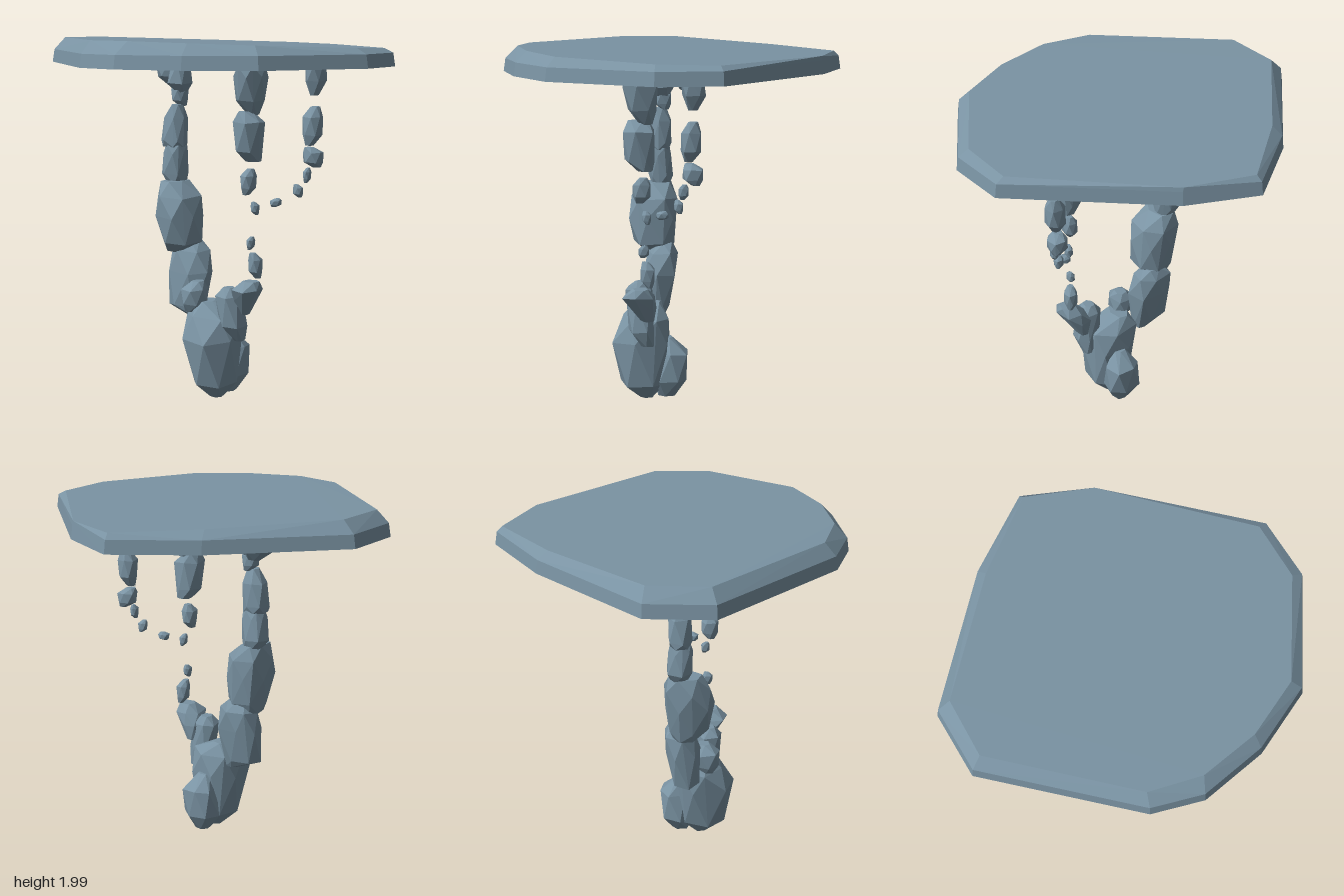
import * as THREE from 'three';
import { ConvexGeometry } from 'three/addons/geometries/ConvexGeometry.js';

const material = new THREE.MeshStandardMaterial({ color: 0x7a93a3, flatShading: true });

// Irregular hexagon that touches the sides of a unit square
const HEX = [[-1, -0.4], [-0.3, -1], [0.75, -0.85], [1, 0.25], [0.35, 1], [-0.75, 0.75]];

function hull(name, points) {
  const mesh = new THREE.Mesh(new ConvexGeometry(points), material);
  mesh.name = name;
  return mesh;
}

// Faceted boulder from level sections [y, x0, x1, z0, z1]; alternate sections are mirrored
function boulder(name, sections) {
  const points = [];
  sections.forEach(([y, x0, x1, z0, z1], i) => {
    const flip = i % 2 ? -1 : 1;
    HEX.forEach(([u, v], k) => points.push(new THREE.Vector3(
      (x0 + x1) / 2 + u * flip * (x1 - x0) / 2,
      y + (k % 2 ? 0.04 : 0) * (i === 0 || i === sections.length - 1 ? 0 : 1) * flip * (x1 - x0),
      (z0 + z1) / 2 + v * (z1 - z0) / 2)));
  });
  return hull(name, points);
}

// Small rock filling a box, narrowed towards both ends
function rock(name, [x0, x1, y0, y1, z0, z1], i) {
  const w = x1 - x0, h = y1 - y0, d = z1 - z0, s = i % 2 ? 0.14 : -0.1;
  const section = (t, k, shift) => {
    const cx = (x0 + x1) / 2 + shift * w, cz = (z0 + z1) / 2 - shift * d;
    return [y0 + t * h, cx - k * w / 2, cx + k * w / 2, cz - k * d / 2, cz + k * d / 2];
  };
  return boulder(name, [section(0, 0.4, s), section(0.28, 0.94, 0), section(0.72, 0.97, 0), section(1, 0.45, -s)]);
}

// Slab: vertical rim, bevel, and a top that dips gently to the back left
function slab() {
  const outer = [[-0.08, -0.94], [0.29, -0.78], [0.97, -0.17], [0.98, 0.17], [0.65, 0.7], [0.31, 0.87],
    [-0.05, 0.94], [-0.32, 0.87], [-0.98, 0.28], [-0.99, -0.08], [-0.47, -0.66]];
  const inner = [[-0.07, -0.9], [0.28, -0.77], [0.91, -0.16], [0.91, 0.16], [0.6, 0.65], [0.3, 0.8],
    [-0.02, 0.86], [-0.3, 0.8], [-0.91, 0.25], [-0.91, -0.07], [-0.44, -0.6]];
  const points = [];
  outer.forEach(([x, z]) => {
    points.push(new THREE.Vector3(x, 1.86, z));
    points.push(new THREE.Vector3(x * 0.988, 1.932, z * 0.988));
  });
  inner.forEach(([x, z]) => points.push(new THREE.Vector3(x, Math.min(2, 1.98 - 0.022 * x + 0.023 * z), z)));
  return hull('slab', points);
}

export function createModel() {
  const model = new THREE.Group();
  model.name = 'rockTable';
  model.add(slab());

  // Base stones
  model.add(boulder('baseFrontBoulder', [
    [0.01, 0.03, 0.1, 0.13, 0.2], [0.1, -0.05, 0.18, 0.06, 0.31], [0.34, -0.1, 0.2, 0.03, 0.36],
    [0.48, -0.11, 0.19, 0.04, 0.29], [0.55, -0.05, 0.04, 0.08, 0.22]]));
  model.add(boulder('baseBackBoulder', [
    [0.02, 0.03, 0.11, 0, 0.1], [0.12, -0.04, 0.17, -0.06, 0.12],
    [0.27, -0.02, 0.17, -0.07, 0.1], [0.36, 0.03, 0.1, 0.02, 0.08]]));

  // Thick column of stacked stones
  model.add(boulder('columnLowerBoulder', [
    [0.44, -0.15, -0.08, 0.05, 0.14], [0.5, -0.29, -0.07, 0.02, 0.17], [0.68, -0.3, -0.04, -0.02, 0.17],
    [0.81, -0.29, -0.07, -0.03, 0.14], [0.86, -0.23, -0.12, 0, 0.09]]));
  model.add(boulder('columnMiddleBoulder', [
    [0.8, -0.3, -0.2, 0.03, 0.15], [0.86, -0.31, -0.1, -0.01, 0.22], [1.0, -0.34, -0.1, -0.02, 0.25],
    [1.12, -0.35, -0.11, -0.03, 0.23], [1.2, -0.33, -0.2, 0, 0.18]]));
  model.add(boulder('columnUpperStone', [
    [1.18, -0.32, -0.22, 0.01, 0.11], [1.24, -0.36, -0.21, -0.01, 0.13],
    [1.35, -0.34, -0.21, 0, 0.13], [1.4, -0.33, -0.21, 0.01, 0.12]]));
  model.add(boulder('columnTopStone', [
    [1.39, -0.35, -0.21, 0.01, 0.12], [1.43, -0.36, -0.21, 0, 0.13],
    [1.55, -0.34, -0.21, 0, 0.12], [1.63, -0.29, -0.23, 0.03, 0.1]]));
  model.add(boulder('columnCapStone', [
    [1.69, -0.26, -0.22, 0.02, 0.08], [1.75, -0.32, -0.18, -0.01, 0.13], [1.86, -0.29, -0.2, 0, 0.11]]));
  model.add(boulder('columnSideStone', [
    [1.72, -0.41, -0.34, -0.11, -0.06], [1.78, -0.48, -0.3, -0.15, -0.01], [1.86, -0.49, -0.3, -0.14, 0]]));

  // Branching arm stones
  model.add(boulder('armLowerStone', [
    [0.35, 0.19, 0.24, 0.13, 0.2], [0.44, 0.12, 0.27, 0.13, 0.27],
    [0.6, 0.1, 0.24, 0.14, 0.28], [0.65, 0.14, 0.2, 0.17, 0.24]]));
  model.add(boulder('armUpperStone', [
    [0.5, 0.21, 0.27, 0.13, 0.2], [0.59, 0.19, 0.32, 0.12, 0.25],
    [0.65, 0.22, 0.37, 0.13, 0.31], [0.7, 0.27, 0.36, 0.17, 0.25]]));

  // Stones hanging beneath the slab
  model.add(boulder('hangingTopStone', [
    [1.6, 0.28, 0.33, 0.14, 0.21], [1.68, 0.22, 0.37, 0.12, 0.27],
    [1.8, 0.22, 0.39, 0.11, 0.3], [1.86, 0.24, 0.38, 0.12, 0.3]]));
  model.add(boulder('hangingLowerStone', [
    [1.35, 0.27, 0.35, 0.14, 0.22], [1.41, 0.23, 0.36, 0.13, 0.29],
    [1.56, 0.22, 0.38, 0.13, 0.3], [1.62, 0.25, 0.31, 0.16, 0.27]]));
  model.add(boulder('outerTopStone', [
    [1.7, 0.53, 0.57, -0.08, -0.03], [1.78, 0.5, 0.61, -0.12, 0], [1.86, 0.51, 0.61, -0.11, 0.01]]));

  // Small stones and floating pebbles: [x0, x1, y0, y1, z0, z1]
  const small = {
    columnFrontStone: [-0.13, 0.01, 0.49, 0.66, 0.12, 0.28],
    columnNeckStone: [-0.3, -0.21, 1.62, 1.74, 0, 0.1],
    hangingEndStone: [0.25, 0.33, 1.17, 1.31, 0.15, 0.25],
    innerPebbleUpper: [0.295, 0.34, 1.06, 1.13, 0.15, 0.2],
    innerPebbleLower: [0.28, 0.32, 0.87, 0.94, 0.16, 0.22],
    armTipStone: [0.28, 0.355, 0.71, 0.85, 0.13, 0.21],
    outerMiddleStone: [0.49, 0.6, 1.43, 1.64, -0.1, 0.01],
    outerLowerStone: [0.49, 0.6, 1.31, 1.42, -0.11, 0],
    arcPebbleUpper: [0.515, 0.555, 1.23, 1.31, -0.035, 0.02],
    arcPebbleMiddle: [0.465, 0.52, 1.15, 1.22, -0.01, 0.04],
    arcPebbleLower: [0.37, 0.43, 1.1, 1.145, 0.06, 0.13],
  };
  Object.entries(small).forEach(([name, box], i) => model.add(rock(name, box, i)));
  return model;
}
